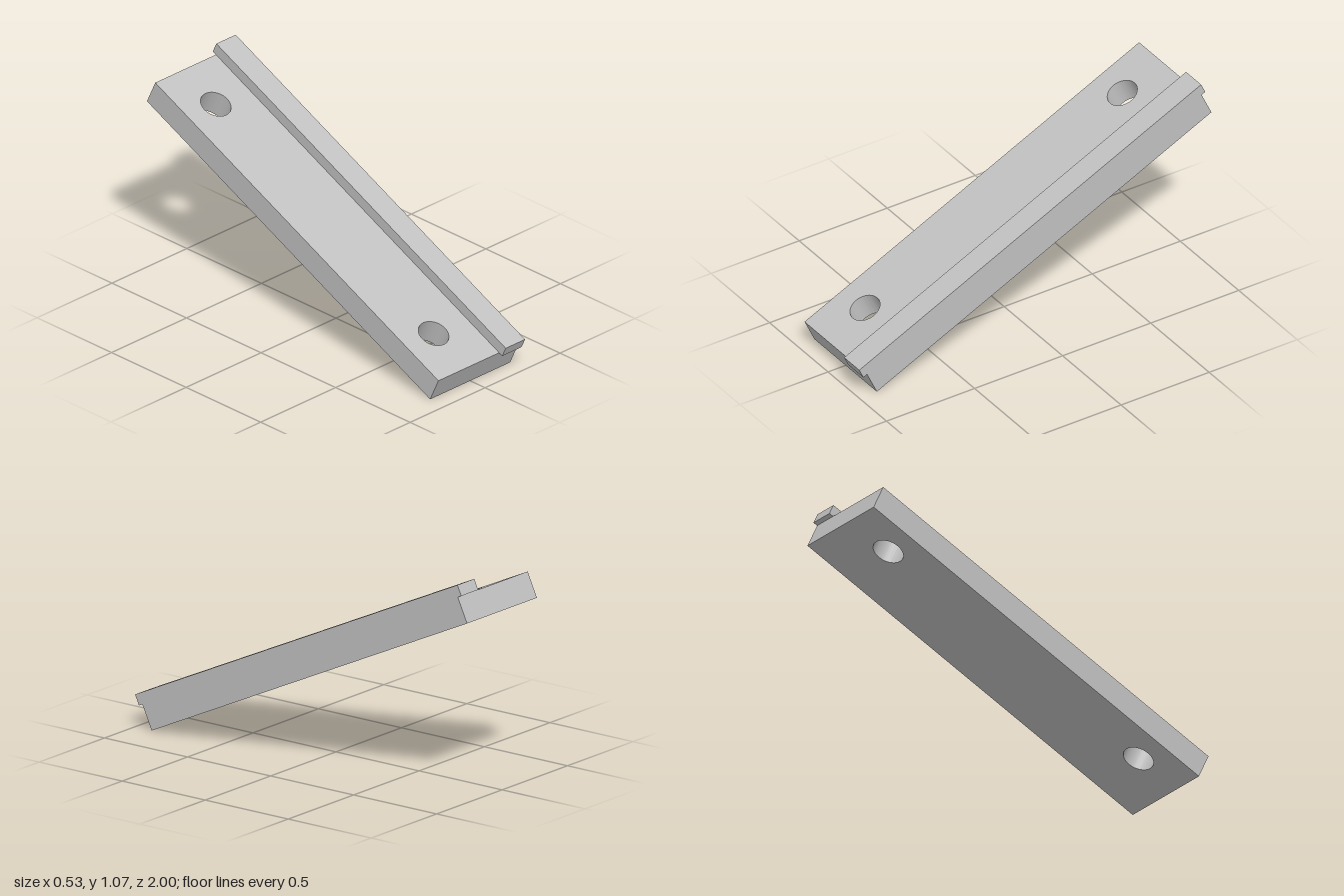
import * as THREE from 'three';
import { toCreasedNormals } from 'three/addons/utils/BufferGeometryUtils.js';

const SLOPE = THREE.MathUtils.degToRad(25);
const HALF_WIDTH = 0.267;
const LENGTH = 2.096;
const THICKNESS = 0.132;

const RAIL = { inner: 0.138, height: 0.055, overhang: 0.023 };
const HOLE = { x: -0.081, radius: 0.076, inset: 0.242 };

export function createModel() {
  const lightGrey = new THREE.MeshStandardMaterial({ color: 0xc0c0c0 });
  lightGrey.name = 'light grey';

  // Built flat (x across, y along, z thickness), then tilted up towards the back
  const bar = new THREE.Group();
  bar.name = 'slopedBar';

  // Plate with two round through holes
  const outline = new THREE.Shape();
  outline.moveTo(-HALF_WIDTH, 0);
  outline.lineTo(HALF_WIDTH, 0);
  outline.lineTo(HALF_WIDTH, LENGTH);
  outline.lineTo(-HALF_WIDTH, LENGTH);
  outline.closePath();
  for (const y of [HOLE.inset, LENGTH - HOLE.inset]) {
    const hole = new THREE.Path();
    hole.absarc(HOLE.x, y, HOLE.radius, 0, Math.PI * 2, true);
    outline.holes.push(hole);
  }
  const plateGeometry = new THREE.ExtrudeGeometry(outline, {
    depth: THICKNESS, bevelEnabled: false, curveSegments: 48,
  });
  const plate = new THREE.Mesh(toCreasedNormals(plateGeometry, 0.5), lightGrey);
  plate.name = 'plate';
  bar.add(plate);

  // Raised edge rail, overhanging the plate at both ends
  const railWidth = HALF_WIDTH - RAIL.inner;
  const rail = new THREE.Mesh(
    new THREE.BoxGeometry(railWidth, LENGTH + 2 * RAIL.overhang, RAIL.height),
    lightGrey,
  );
  rail.name = 'edgeRail';
  rail.position.set(RAIL.inner + railWidth / 2, LENGTH / 2, THICKNESS + RAIL.height / 2);
  bar.add(rail);

  bar.rotation.x = SLOPE - Math.PI / 2;
  bar.position.z = 0.9;

  const model = new THREE.Group();
  model.name = 'slopedMountingBar';
  model.add(bar);
  return model;
}
